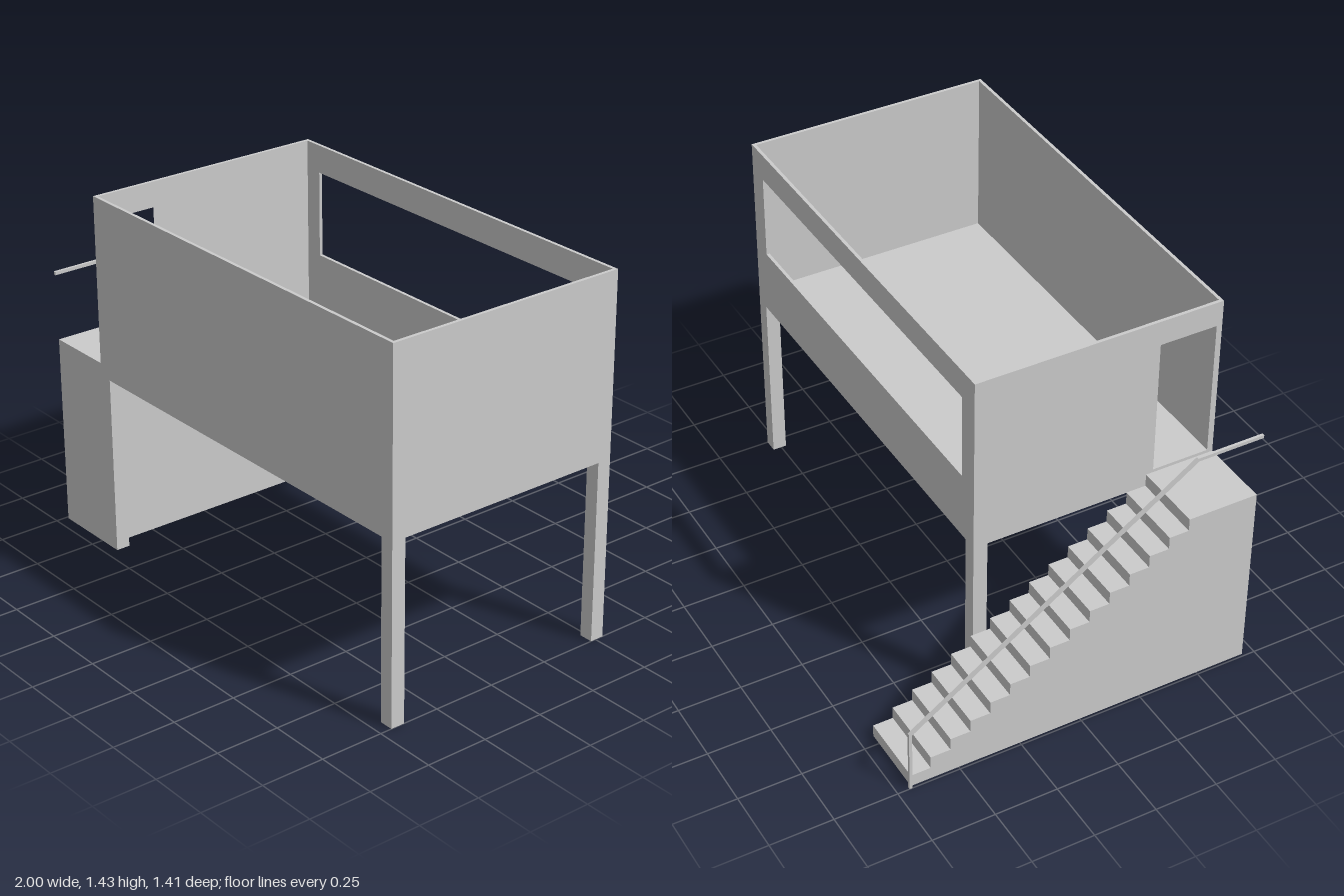
import * as THREE from 'three';

const material = new THREE.MeshStandardMaterial({ color: 0xcccccc, flatShading: true });

// Room extents, wall thickness, levels
const X0 = -0.705, X1 = 1, Z0 = -0.285, Z1 = 0.703;
const T = 0.013, BASE = 0.715, FLOOR = 0.767, TOP = 1.43, POST = 0.056;

function add(group, name, geometry) {
  const mesh = new THREE.Mesh(geometry, material);
  mesh.name = name;
  group.add(mesh);
}

// Box given by its lowest and highest corners
function box(x0, x1, y0, y1, z0, z1) {
  return new THREE.BoxGeometry(x1 - x0, y1 - y0, z1 - z0)
    .translate((x0 + x1) / 2, (y0 + y1) / 2, (z0 + z1) / 2);
}

const outline = (points) => points.map(([a, b]) => new THREE.Vector2(a, b));
const rect = (a0, a1, b0, b1) => [[a0, b0], [a1, b0], [a1, b1], [a0, b1]];

// Extrude a side profile of [z, y] points along +x, starting at x
function sideProfile(points, x, depth, hole) {
  const flip = (list) => outline(list.map(([z, y]) => [-z, y]));
  const shape = new THREE.Shape(flip(points));
  if (hole) shape.holes.push(new THREE.Path(flip(hole)));
  return new THREE.ExtrudeGeometry(shape, { depth, bevelEnabled: false })
    .rotateY(Math.PI / 2).translate(x, 0, 0);
}

export function createModel() {
  const model = new THREE.Group();
  model.name = 'raisedRoom';

  // Walls: plain front and left, long window at the back, doorway onto the landing
  add(model, 'frontWall', box(X0, X1, BASE, TOP, Z1 - T, Z1));
  add(model, 'leftWall', box(X1 - T, X1, BASE, TOP, Z0 + T, Z1 - T));

  const back = new THREE.Shape(outline(rect(X0, X1, BASE, TOP)));
  back.holes.push(new THREE.Path(outline(rect(-0.62, 0.915, 0.98, 1.32))));
  add(model, 'backWallWithWindow',
    new THREE.ExtrudeGeometry(back, { depth: T, bevelEnabled: false }).translate(0, 0, Z0));

  add(model, 'rightWallWithDoorway', sideProfile(
    rect(Z0 + T, Z1 - T, BASE, TOP), X0, T, rect(0.45, 0.68, FLOOR, 1.33)));

  add(model, 'floor', box(X0 + T, X1 - T, BASE, FLOOR, Z0 + T, Z1 - T));

  // Corner posts
  for (const x of [X0, X1 - POST])
    for (const z of [Z0, Z1 - POST])
      add(model, 'cornerPost', box(x, x + POST, 0, BASE, z, z + POST));

  // Solid staircase with landing
  const steps = 15, start = -0.692, tread = 0.0795, riser = FLOOR / steps;
  const profile = [[start, 0]];
  for (let i = 0; i < steps; i++) {
    profile.push([start + i * tread, (i + 1) * riser]);
    profile.push([i < steps - 1 ? start + (i + 1) * tread : Z1, (i + 1) * riser]);
  }
  profile.push([Z1, 0]);
  add(model, 'staircase', sideProfile(profile, -0.989, X0 + 0.989));

  // Handrail: upright, sloping run, level run beside the landing
  add(model, 'handrail', sideProfile([
    [-0.703, 0], [-0.703, 0.263], [0.432, 1.043], [Z1, 1.043],
    [Z1, 1.03], [0.436, 1.03], [-0.691, 0.256], [-0.691, 0],
  ], -1, 0.011));

  return model;
}
